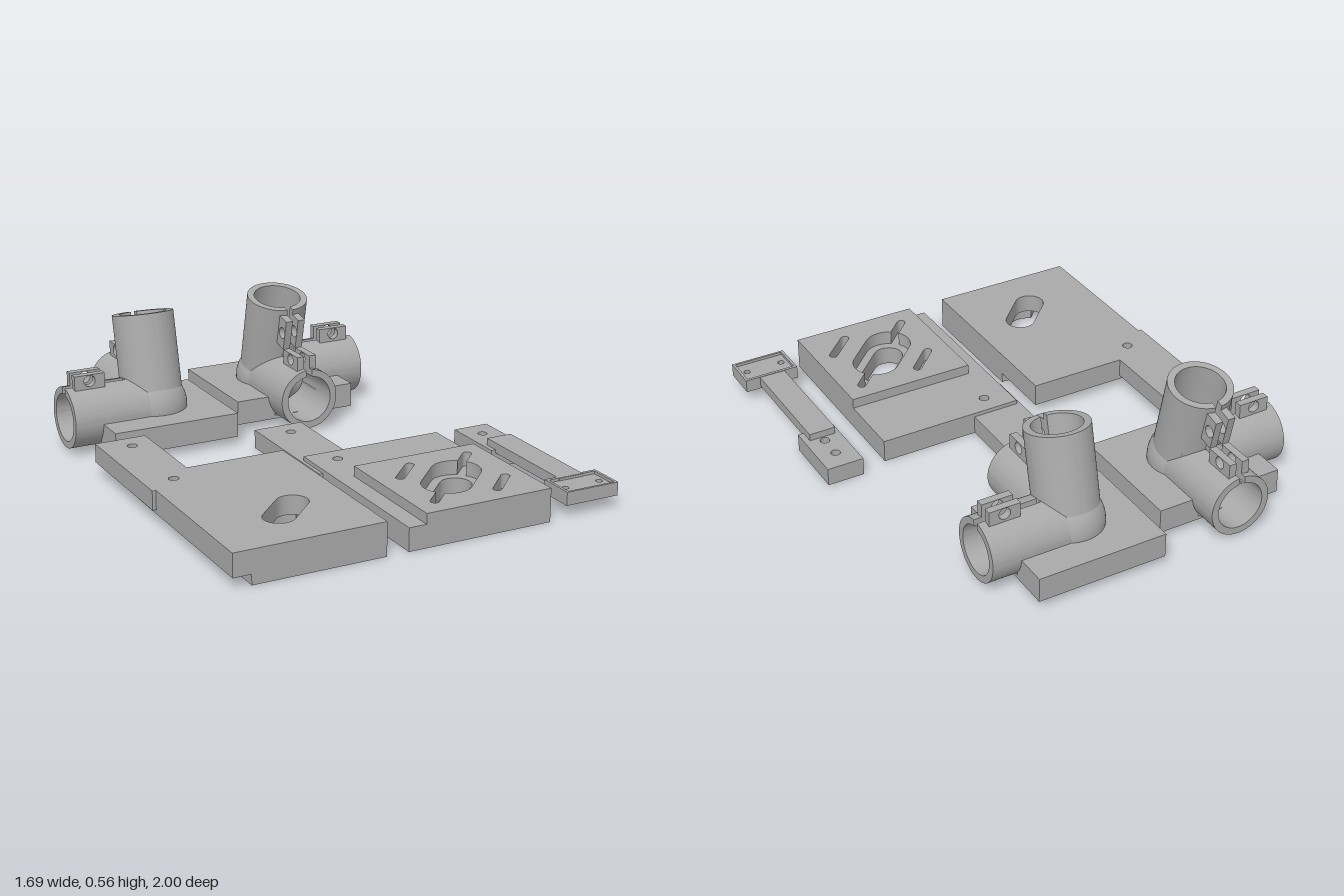
import * as THREE from 'three';
import { toCreasedNormals } from 'three/addons/utils/BufferGeometryUtils.js';

const grey = new THREE.MeshStandardMaterial({ color: 0xa9a9a9 });
grey.name = 'printed grey';

function add(parent, name, geometry) {
  const mesh = new THREE.Mesh(geometry, grey);
  mesh.name = name;
  parent.add(mesh);
  return mesh;
}

function extrude(shape, depth, segments = 24) {
  const geo = new THREE.ExtrudeGeometry(shape, { depth, bevelEnabled: false, curveSegments: segments });
  return toCreasedNormals(geo, 0.5);
}

const poly = (pts) => new THREE.Shape(pts.map(([x, z]) => new THREE.Vector2(x, z)));
const rect = (x0, x1, z0, z1) => poly([[x0, z0], [x1, z0], [x1, z1], [x0, z1]]);
const circle = (x, y, r) => new THREE.Path().absarc(x, y, r, 0, Math.PI * 2, false);

// Horizontal slab: outline in x/z, between heights y0 and y1
function slab(parent, name, shape, holes, y0, y1) {
  shape.holes.push(...holes);
  const geo = extrude(shape, y1 - y0);
  geo.rotateX(Math.PI / 2).translate(0, y1, 0);
  return add(parent, name, geo);
}

// Rounded slot on the 45 degree diagonal; tab > 0 adds a narrow slit at both ends
function slot(cx, cz, half, r, tab = 0, w = 0.018) {
  const local = [];
  const a0 = tab ? Math.asin(w / r) : 0;
  const arc = (u, rad, from, to) => {
    for (let i = 0; i <= 14; i++) {
      const a = from + (to - from) * i / 14;
      local.push([u + rad * Math.cos(a), rad * Math.sin(a)]);
    }
  };
  const h = Math.PI / 2;
  if (tab) {
    arc(half, r, -h, -a0);
    arc(tab, w, -h, h);
    arc(half, r, a0, h);
    arc(-half, r, h, 2 * h - a0);
    arc(-tab, w, h, 3 * h);
    arc(-half, r, 2 * h + a0, 3 * h);
  } else {
    arc(half, r, -h, h);
    arc(-half, r, h, 3 * h);
  }
  const s = Math.SQRT1_2;
  return new THREE.Path(local.map(([u, v]) => new THREE.Vector2(cx + s * (u + v), cz + s * (v - u))));
}

// Motor plate with arm, raised pad and grooves; flipped puts the pad underneath
function motorPlate(name, dx, flipped) {
  const g = new THREE.Group();
  g.name = name;
  const layer = (label, shape, holes, y0, y1) =>
    flipped ? slab(g, label, shape, holes, 0.14 - y1, 0.14 - y0) : slab(g, label, shape, holes, y0, y1);
  const screwBack = () => circle(0.007, -0.18, 0.021);
  const screwFront = () => circle(0.007, 0.235, 0.021);
  const grooves = () => [
    slot(0.25, 0.717, 0.08, 0.1, 0.27),
    slot(0.12, 0.582, 0.073, 0.018),
    slot(0.39, 0.857, 0.073, 0.018),
  ];
  const outline = poly([[-0.105, 1], [0.525, 1], [0.525, 0.15], [0.1, 0.15],
    [0.1, -0.27], [-0.12, -0.27], [-0.12, 0.32], [-0.105, 0.32]]);
  layer('plateWithArm', outline, [screwBack(), screwFront(), slot(0.25, 0.717, 0.08, 0.064)], 0, 0.08);
  layer('plateStep', rect(-0.105, 0.525, 0.15, 1), [screwFront(), ...grooves()], 0.08, 0.097);
  layer('raisedPad', rect(-0.03, 0.525, 0.44, 1), grooves(), 0.097, 0.14);
  g.position.x = dx;
  return g;
}

// Narrow bracket: foot, bar and a head with a raised rim
function bracket() {
  const g = new THREE.Group();
  g.name = 'bracket';
  slab(g, 'foot', rect(0.64, 0.8, 0.11, 0.4), [circle(0.72, 0.205, 0.02), circle(0.72, 0.308, 0.02)], 0, 0.077);
  slab(g, 'bar', rect(0.66, 0.775, 0.335, 0.86), [], 0.063, 0.107);
  slab(g, 'head', rect(0.6, 0.84, 0.845, 1), [circle(0.64, 0.93, 0.014), circle(0.8, 0.93, 0.014)], 0.053, 0.097);
  slab(g, 'headRim', rect(0.6, 0.84, 0.845, 1), [rect(0.612, 0.828, 0.858, 0.99)], 0.097, 0.109);
  return g;
}

// Clamp tube along +z, slit along its +y side, with two drilled lugs
function clampTube(name, length) {
  const g = new THREE.Group();
  g.name = name;
  const R = 0.132, r = 0.102, gap = 0.013, solid = 0.13, h = Math.PI / 2;
  const ring = new THREE.Shape().absarc(0, 0, R, 0, Math.PI * 2, false);
  ring.holes.push(circle(0, 0, r));
  add(g, 'tubeRoot', extrude(ring, solid, 56));
  const a = Math.asin(gap / R), b = Math.asin(gap / r);
  const split = new THREE.Shape();
  split.absarc(0, 0, R, h + a, 5 * h - a, false);
  split.absarc(0, 0, r, 5 * h - b, h + b, true);
  split.closePath();
  add(g, 'splitTube', extrude(split, length - solid, 56)).position.z = solid;
  // Lug profile in z/y, extruded across the tube
  for (const x of [-0.045, gap]) {
    const lug = rect(-0.37, -0.235, 0.118, 0.187);
    lug.holes.push(circle(-0.303, 0.16, 0.025));
    const geo = extrude(lug, 0.045 - gap);
    geo.rotateY(h).translate(x, 0, 0);
    add(g, 'clampLug', geo);
  }
  return g;
}

// Corner joint: three clamp tubes meeting in a ball on a base block
function cornerJoint(name) {
  const g = new THREE.Group();
  g.name = name;
  const c = 0.1, X = 0.28, Z = 0.262;
  slab(g, 'baseSlab', rect(-X, X, -Z, Z), [], 0.035, 0.05);
  const sides = poly([[-X, -Z], [X, -Z], [X, -c], [c, -c], [-c, -c], [-c, Z], [-X, Z]]);
  slab(g, 'baseBlock', sides, [], 0.05, 0.14);
  slab(g, 'baseCorner', rect(c, X, c, Z), [], 0.05, 0.14);
  add(g, 'ball', new THREE.SphereGeometry(0.147, 48, 32)).position.y = 0.15;
  const front = clampTube('frontTube', 0.395);
  const side = clampTube('sideTube', 0.403);
  const upright = clampTube('uprightTube', 0.395);
  side.rotation.y = Math.PI / 2;
  upright.rotation.set(-77 * Math.PI / 180, 0, Math.PI);
  for (const t of [front, side, upright]) {
    t.position.y = 0.15;
    g.add(t);
  }
  return g;
}

export function createModel() {
  const model = new THREE.Group();
  model.name = 'printedPartSet';
  model.add(motorPlate('plateFaceUp', 0, false));
  model.add(motorPlate('plateFaceDown', -0.723, true));
  model.add(bracket());
  const jointLeft = cornerJoint('cornerJointLeft');
  jointLeft.position.set(0.18, 0, -0.738);
  const jointRight = cornerJoint('cornerJointRight');
  jointRight.position.set(-0.443, 0, -0.605);
  jointRight.rotation.y = Math.PI;
  model.add(jointLeft, jointRight);
  return model;
}
